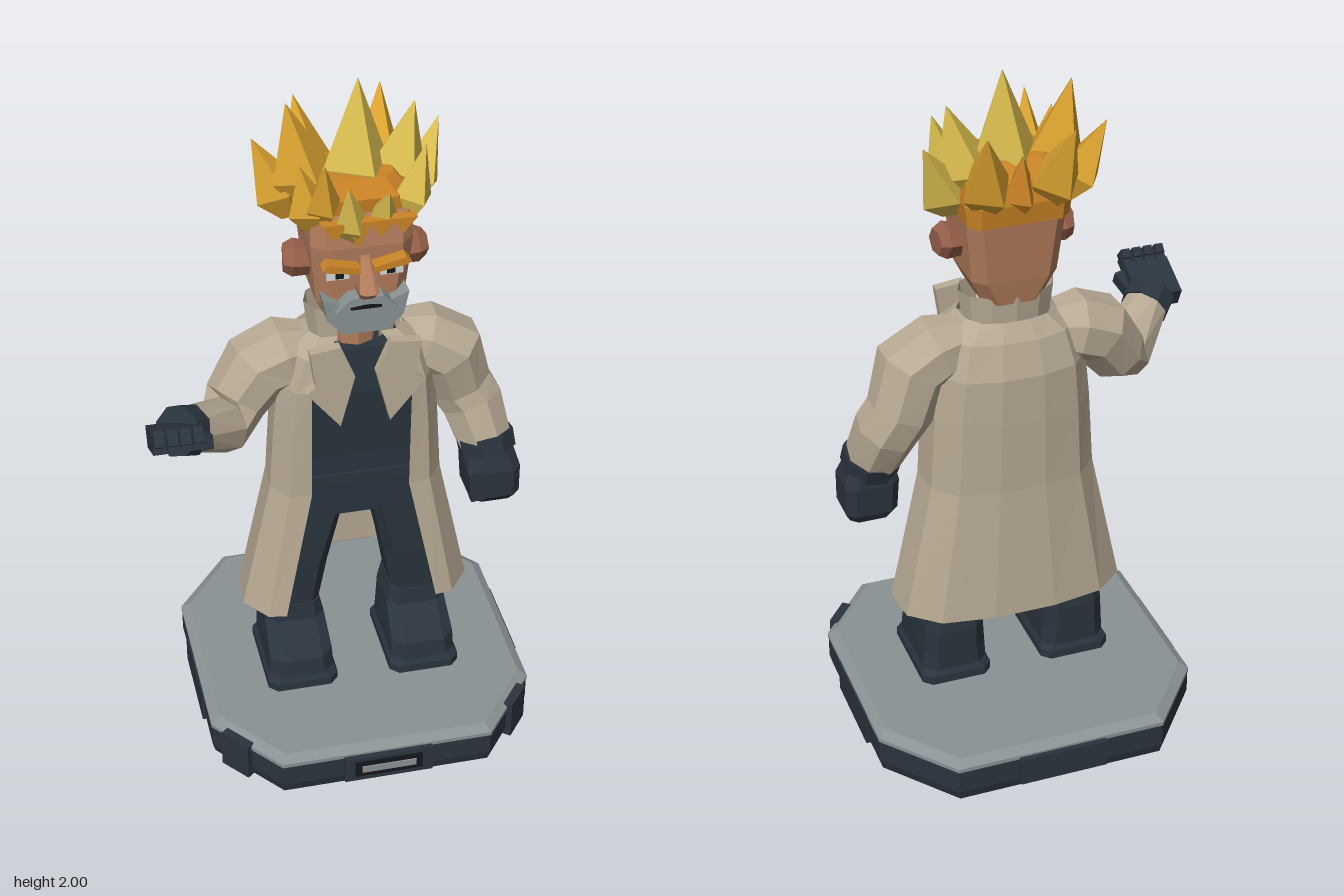
import * as THREE from 'three';

const CX = 0.062; // the figure's middle plane
const mat = (name, color, side = THREE.FrontSide) => {
  const m = new THREE.MeshStandardMaterial({ color, side });
  m.name = name;
  return m;
};

// Faceted skin through rings of equal point count; rings turn counterclockwise about the travel direction
function loft(rings, closed = true, caps = true) {
  const n = rings[0].length, idx = [];
  for (let i = 0; i < rings.length - 1; i++)
    for (let j = 0; j < (closed ? n : n - 1); j++) {
      const a = i * n + j, b = i * n + (j + 1) % n;
      idx.push(a, b, b + n, a, b + n, a + n);
    }
  const last = (rings.length - 1) * n;
  if (caps) for (let j = 1; j < n - 1; j++) idx.push(0, j + 1, j, last, last + j, last + j + 1);
  let g = new THREE.BufferGeometry();
  g.setAttribute('position', new THREE.Float32BufferAttribute(rings.flat(2), 3));
  g.setIndex(idx);
  g = g.toNonIndexed();
  g.computeVertexNormals();
  return g;
}

// Horizontal rectangle with cut corners
const ring = (x, y, w, zb, zf, c) => [
  [x - w + c, y, zf], [x + w - c, y, zf], [x + w, y, zf - c], [x + w, y, zb + c],
  [x + w - c, y, zb], [x - w + c, y, zb], [x - w, y, zb + c], [x - w, y, zf - c]];
const stack = rows => loft(rows.map(r => ring(...r)));

// Faceted tube through [x, y, z, radius]
function limb(pts, sides, turn = 0) {
  const v = pts.map(p => new THREE.Vector3(p[0], p[1], p[2]));
  return loft(v.map((p, i) => {
    const d = v[Math.min(i + 1, v.length - 1)].clone().sub(v[Math.max(i - 1, 0)]).normalize();
    const ref = Math.abs(d.z) > 0.9 ? new THREE.Vector3(1, 0, 0) : new THREE.Vector3(0, 0, 1);
    const w = new THREE.Vector3().crossVectors(d, ref).normalize();
    const u = new THREE.Vector3().crossVectors(w, d);
    return Array.from({ length: sides }, (_, k) => {
      const a = turn + k / sides * Math.PI * 2;
      return p.clone().addScaledVector(u, Math.cos(a) * pts[i][3]).addScaledVector(w, Math.sin(a) * pts[i][3]).toArray();
    });
  }));
}

export function createModel() {
  const root = new THREE.Group();
  const coat = mat('coat beige', 0xb8aa94, THREE.DoubleSide), dark = mat('dark navy', 0x2a343e);
  const skin = mat('skin', 0xb47d5c), earSkin = mat('ear skin', 0x965f4a);
  const grey = mat('grey', 0x8a9293), gold = mat('gold hair', 0xd9a230), pale = mat('pale gold hair', 0xd8bb4e);
  const orange = mat('orange hair', 0xcb8426), white = mat('eye white', 0xd6dada), black = mat('black', 0x14181c);
  const add = (name, geo, m, parent = root) => {
    const o = new THREE.Mesh(geo, m);
    o.name = name;
    parent.add(o);
    return o;
  };
  const box = (name, m, x, y, z, w, h, d, rx = 0, ry = 0, rz = 0, parent = root) => {
    const o = add(name, new THREE.BoxGeometry(w, h, d), m, parent);
    o.position.set(x, y, z);
    o.rotation.set(rx, ry, rz);
    return o;
  };
  const plate = (name, m, pts, z, depth) => {
    const s = new THREE.Shape(pts.map(p => new THREE.Vector2(...p)));
    add(name, new THREE.ExtrudeGeometry(s, { depth, bevelEnabled: false }), m).position.z = z;
  };

  // Octagonal stand
  const octagon = (y, inset) => {
    const X = 0.481 - inset, Z = 0.479 - inset, x = 0.31 - inset * 0.5, z = 0.268 - inset * 0.5;
    return [[-x, Z], [x, Z], [X, z], [X, -z], [x, -Z], [-x, -Z], [-X, -z], [-X, z]].map(p => [p[0] + CX, y, p[1] - 0.011]);
  };
  add('standBody', loft([octagon(0, 0.01), octagon(0.03, 0.002), octagon(0.1, 0.002)]), dark);
  add('standTop', loft([octagon(0.1, 0), octagon(0.112, 0), octagon(0.13, 0.026)]), grey);
  for (const s of [-1, 1]) {
    box('standEndPlate', dark, CX, 0.063, -0.011 + s * 0.48, 0.26, 0.085, 0.03);
    box('standSidePlate', dark, CX + s * 0.478, 0.055, -0.02, 0.016, 0.1, 0.28);
    box('standCornerClip', dark, CX + s * 0.415, 0.06, 0.335, 0.1, 0.12, 0.035, 0, s * 0.89);
  }
  box('standPlaque', black, CX, 0.066, 0.484, 0.2, 0.055, 0.008);
  box('standPlaqueBar', grey, CX, 0.066, 0.488, 0.16, 0.022, 0.008);

  // Boots and trousers
  for (const s of [-1, 1]) {
    const x = CX + s * 0.185;
    add('sole', stack([[x, 0.13, 0.105, -0.12, 0.183, 0.025], [x, 0.155, 0.105, -0.12, 0.183, 0.025], [x, 0.17, 0.097, -0.112, 0.175, 0.03]]), dark);
    add('boot', stack([[x, 0.165, 0.096, -0.11, 0.172, 0.03], [x, 0.225, 0.094, -0.11, 0.165, 0.035],
      [x, 0.3, 0.088, -0.112, 0.07, 0.03], [x, 0.355, 0.076, -0.105, 0.066, 0.025]]), dark);
    add('leg', stack([[x, 0.33, 0.07, -0.1, 0.06, 0.025], [CX + s * 0.165, 0.5, 0.08, -0.1, 0.07, 0.03],
      [CX + s * 0.13, 0.72, 0.09, -0.11, 0.078, 0.02]]), dark);
  }

  // Shirt and belt
  add('torso', stack([[CX, 0.69, 0.2, -0.12, 0.082, 0.04], [CX, 0.9, 0.2, -0.13, 0.084, 0.04],
    [CX, 1.12, 0.19, -0.13, 0.095, 0.05], [CX, 1.25, 0.12, -0.1, 0.075, 0.04]]), dark);
  box('belt', dark, CX, 0.82, 0.083, 0.28, 0.035, 0.016);

  // Open long coat: rows of y, half width, back z, front z, half opening
  const coatRows = [[0.37, 0.338, -0.18, 0.127, 0.225], [0.78, 0.25, -0.165, 0.098, 0.142], [1.0, 0.236, -0.17, 0.102, 0.142],
    [1.14, 0.222, -0.17, 0.106, 0.142], [1.24, 0.19, -0.145, 0.092, 0.1], [1.29, 0.13, -0.115, 0.06, 0.06]];
  add('coatBody', loft(coatRows.map(([y, w, b, f, o]) => {
    const half = [[o, f], [Math.max(w * 0.82, o + 0.02), f * 0.93], [w, f * 0.3], [w * 0.97, b * 0.45], [w * 0.72, b * 0.86], [w * 0.27, b]];
    return [...half, ...half.slice().reverse().map(p => [-p[0], p[1]])].map(p => [CX + p[0], y, p[1]]);
  }), false, false), coat);
  const collar = add('collar', new THREE.CylinderGeometry(0.138, 0.125, 0.1, 10, 1, true, 0.47, Math.PI * 2 - 0.94).toNonIndexed(), coat);
  collar.geometry.computeVertexNormals();
  collar.scale.z = 0.68;
  collar.position.set(CX, 1.315, -0.025);
  for (const s of [-1, 1])
    plate('lapel', coat, [[0.07, 1.05], [0.165, 1.17], [0.14, 1.19], [0.155, 1.3], [0.07, 1.31], [0.03, 1.21]].map(p => [CX + s * p[0], p[1]]), 0.118, 0.03);

  // Sleeves
  add('rightSleeve', limb([[-0.06, 1.21, -0.03, 0.075], [-0.13, 1.2, -0.03, 0.105], [-0.21, 1.17, -0.02, 0.105], [-0.275, 1.08, 0.0, 0.09],
    [-0.32, 1.035, 0.05, 0.083], [-0.45, 1.125, 0.17, 0.064]], 8, 0.39), coat);
  add('leftSleeve', limb([[0.18, 1.22, -0.03, 0.07], [0.26, 1.2, -0.025, 0.1], [0.335, 1.155, -0.02, 0.108], [0.375, 1.03, -0.03, 0.096],
    [0.41, 0.97, -0.015, 0.094], [0.445, 0.845, 0.035, 0.08]], 8, 0.39), coat);

  // Raised open right hand
  add('rightCuff', limb([[-0.43, 1.11, 0.155, 0.074], [-0.468, 1.137, 0.19, 0.072]], 8, 0.39), dark);
  const hand = new THREE.Group();
  hand.name = 'rightHand';
  hand.position.set(-0.48, 1.145, 0.225);
  hand.rotation.x = -0.45;
  root.add(hand);
  box('palm', dark, 0, 0, 0, 0.135, 0.06, 0.13, 0, 0, 0, hand);
  for (let i = 0; i < 4; i++) {
    const x = -0.053 + i * 0.035;
    box('finger', dark, x, 0.005, 0.075, 0.028, 0.04, 0.06, 0, 0, 0, hand);
    box('fingertip', dark, x, 0.017, 0.1, 0.026, 0.045, 0.028, -0.3, 0, 0, hand);
  }
  box('thumb', dark, 0.068, -0.015, 0.015, 0.035, 0.04, 0.09, 0, 0.25, 0, hand);

  // Lowered left fist
  add('leftCuff', limb([[0.442, 0.875, 0.025, 0.086], [0.45, 0.825, 0.042, 0.084]], 8, 0.39), dark);
  add('leftFist', stack([[0.462, 0.675, 0.06, -0.015, 0.1, 0.02], [0.46, 0.7, 0.075, -0.028, 0.118, 0.022],
    [0.456, 0.79, 0.078, -0.032, 0.122, 0.025], [0.452, 0.845, 0.066, -0.02, 0.1, 0.03]]), dark);
  box('leftThumb', dark, 0.4, 0.755, 0.115, 0.045, 0.1, 0.03, 0, 0, 0.1);

  // Neck, head and ears
  add('neck', new THREE.CylinderGeometry(0.065, 0.06, 0.18, 8).toNonIndexed(), skin).position.set(CX, 1.31, -0.005);
  root.children.at(-1).geometry.computeVertexNormals();
  add('head', stack([[CX, 1.345, 0.085, -0.115, 0.098, 0.035], [CX, 1.42, 0.122, -0.128, 0.108, 0.035],
    [CX, 1.6, 0.14, -0.147, 0.118, 0.035], [CX, 1.68, 0.138, -0.145, 0.11, 0.035]]), skin);
  for (const s of [-1, 1]) {
    add('ear', limb([[CX + s * 0.12, 1.51, -0.005, 0.045], [CX + s * 0.17, 1.515, -0.01, 0.052], [CX + s * 0.195, 1.515, -0.014, 0.038]], 6), earSkin);
    // Eyes and slanted brows
    const e = x => CX + s * x;
    box('eyeWhite', white, e(0.073), 1.53, 0.121, 0.062, 0.034, 0.009);
    box('pupil', black, e(0.07), 1.532, 0.127, 0.022, 0.028, 0.006);
    plate('eyebrow', orange, [[e(0.018), 1.54], [e(0.018), 1.557], [e(0.105), 1.578], [e(0.12), 1.562], [e(0.105), 1.555]], 0.115, 0.04);
    plate('moustache', grey, [[e(0), 1.445], [e(0), 1.468], [e(0.045), 1.465], [e(0.085), 1.425], [e(0.045), 1.44]], 0.11, 0.045);
  }

  // Nose and beard
  add('nose', loft([ring(CX, 1.468, 0.022, 0.1, 0.165, 0.008), ring(CX, 1.495, 0.027, 0.1, 0.193, 0.012), ring(CX, 1.575, 0.013, 0.1, 0.128, 0.004)]), skin);
  plate('beard', grey, [[-0.118, 1.462], [-0.105, 1.395], [-0.062, 1.347], [0.062, 1.347], [0.105, 1.395], [0.118, 1.462],
    [0.062, 1.437], [-0.062, 1.437]].map(p => [CX + p[0], p[1]]), 0.075, 0.065);
  box('mouth', black, CX, 1.433, 0.14, 0.085, 0.018, 0.009);

  // Hair cap and fringe
  add('hairCap', stack([[CX, 1.6, 0.143, -0.16, 0.03, 0.03], [CX, 1.66, 0.15, -0.168, 0.075, 0.035],
    [CX, 1.72, 0.14, -0.155, 0.08, 0.04], [CX, 1.765, 0.1, -0.11, 0.05, 0.03]]), orange);
  for (const [x, h] of [[-0.085, 0.05], [-0.022, 0.075], [0.04, 0.05], [0.1, 0.045]])
    plate('fringe', orange, [[CX + x - 0.036, 1.69], [CX + x, 1.69 - h], [CX + x + 0.036, 1.69]], 0.112, 0.03);

  // Hair spikes: base, tip, radius, colour
  const spikes = [
    [[0.068, 1.66, -0.03], [0.083, 2.0, -0.065], 0.1, pale],
    [[-0.055, 1.66, -0.04], [-0.11, 1.95, -0.06], 0.088, gold],
    [[0.17, 1.66, -0.05], [0.235, 1.92, -0.06], 0.088, pale],
    [[-0.1, 1.62, -0.06], [-0.195, 1.835, -0.1], 0.07, gold],
    [[0.225, 1.62, -0.05], [0.318, 1.835, -0.12], 0.07, pale],
    [[-0.02, 1.64, -0.12], [-0.055, 1.88, -0.235], 0.075, gold],
    [[0.15, 1.64, -0.12], [0.185, 1.89, -0.24], 0.075, gold],
    [[0.065, 1.62, -0.13], [0.065, 1.8, -0.17], 0.055, orange],
    [[-0.065, 1.64, 0.055], [-0.1, 1.83, 0.06], 0.06, gold],
    [[0.19, 1.64, 0.055], [0.24, 1.85, 0.05], 0.06, pale],
    [[0.03, 1.62, 0.1], [0.01, 1.8, 0.15], 0.05, pale],
    [[0.11, 1.64, 0.085], [0.12, 1.77, 0.145], 0.042, pale],
    [[-0.04, 1.66, 0.07], [-0.048, 1.86, 0.13], 0.05, gold]];
  for (const [b, t, r, m] of spikes) {
    const at = (k, rad) => [...b.map((c, i) => c + (t[i] - c) * k), rad];
    add('hairSpike', limb([at(0, r * 0.4), at(0.3, r), at(1, 0.001)], 4, 0.3), m);
  }
  return root;
}
